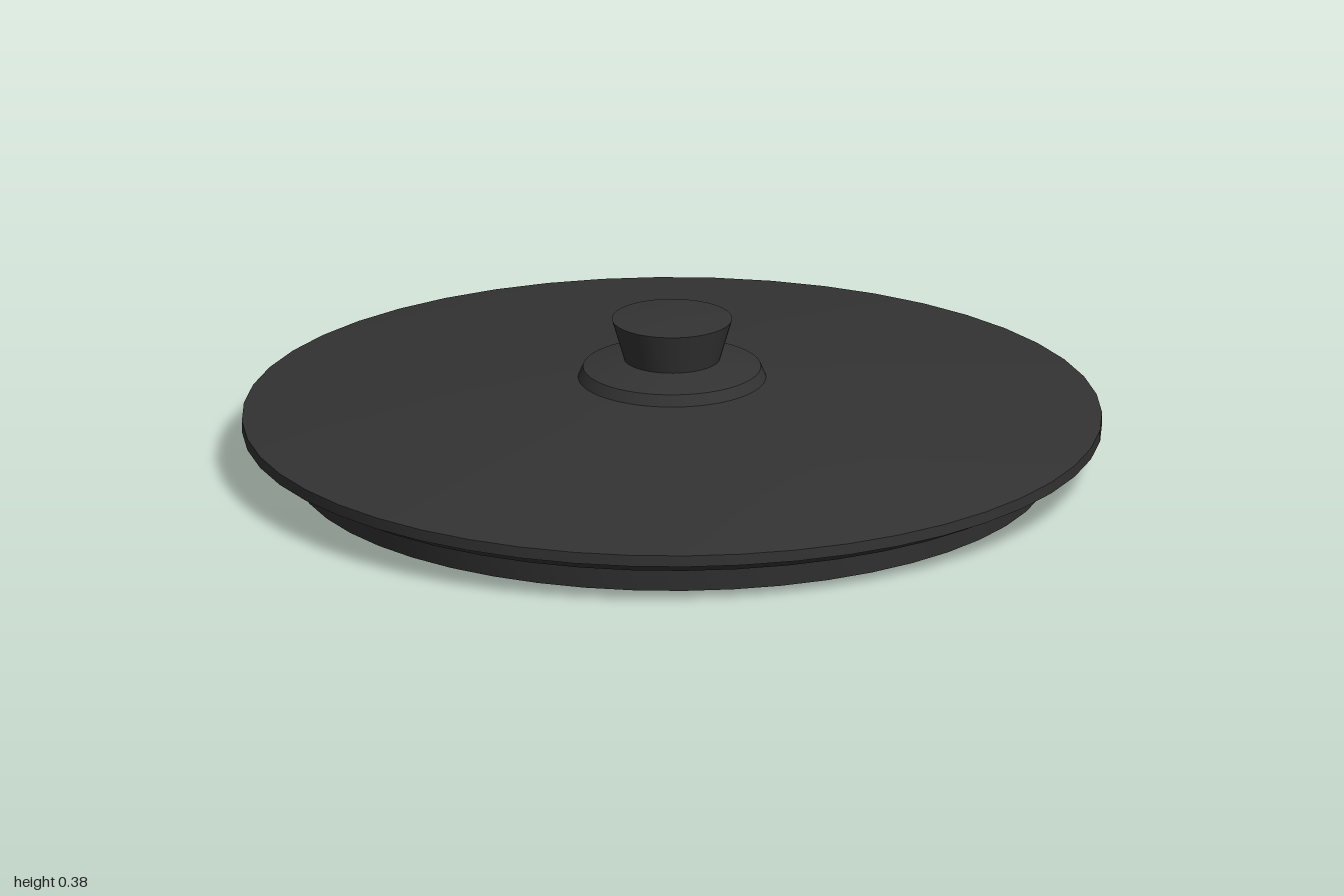
import * as THREE from 'three';
import { toCreasedNormals } from 'three/addons/utils/BufferGeometryUtils.js';

const SEGMENTS = 48;
const material = new THREE.MeshStandardMaterial({ color: 0x333333 });

// Turned part from a list of [radius, height] pairs, with crisp profile edges
function turned(name, profile) {
  const points = profile.map(([r, y]) => new THREE.Vector2(r, y));
  const geometry = toCreasedNormals(new THREE.LatheGeometry(points, SEGMENTS), 0.3);
  const mesh = new THREE.Mesh(geometry, material);
  mesh.name = name;
  return mesh;
}

export function createModel() {
  const lid = new THREE.Group();
  lid.name = 'lid';

  // Shallow cone with a stepped rim and a thin skirt around the recessed underside
  lid.add(turned('lidBody', [
    [0, 0.09], [0.865, 0.09],               // flat ceiling inside
    [0.872, 0], [0.88, 0],                  // skirt bottom edge
    [0.89, 0.065], [0.935, 0.068],          // seat ledge
    [0.97, 0.1], [1, 0.1], [1, 0.127],      // bevel and rim band
    [0.22, 0.225], [0, 0.225],              // sloping top
  ]));

  // Raised collar under the knob
  lid.add(turned('collar', [
    [0.22, 0.222], [0.207, 0.251], [0.11, 0.272], [0, 0.272],
  ]));

  // Flared knob with a barely domed top
  lid.add(turned('knob', [
    [0.11, 0.265], [0.14, 0.368], [0.07, 0.374], [0, 0.375],
  ]));

  return lid;
}
